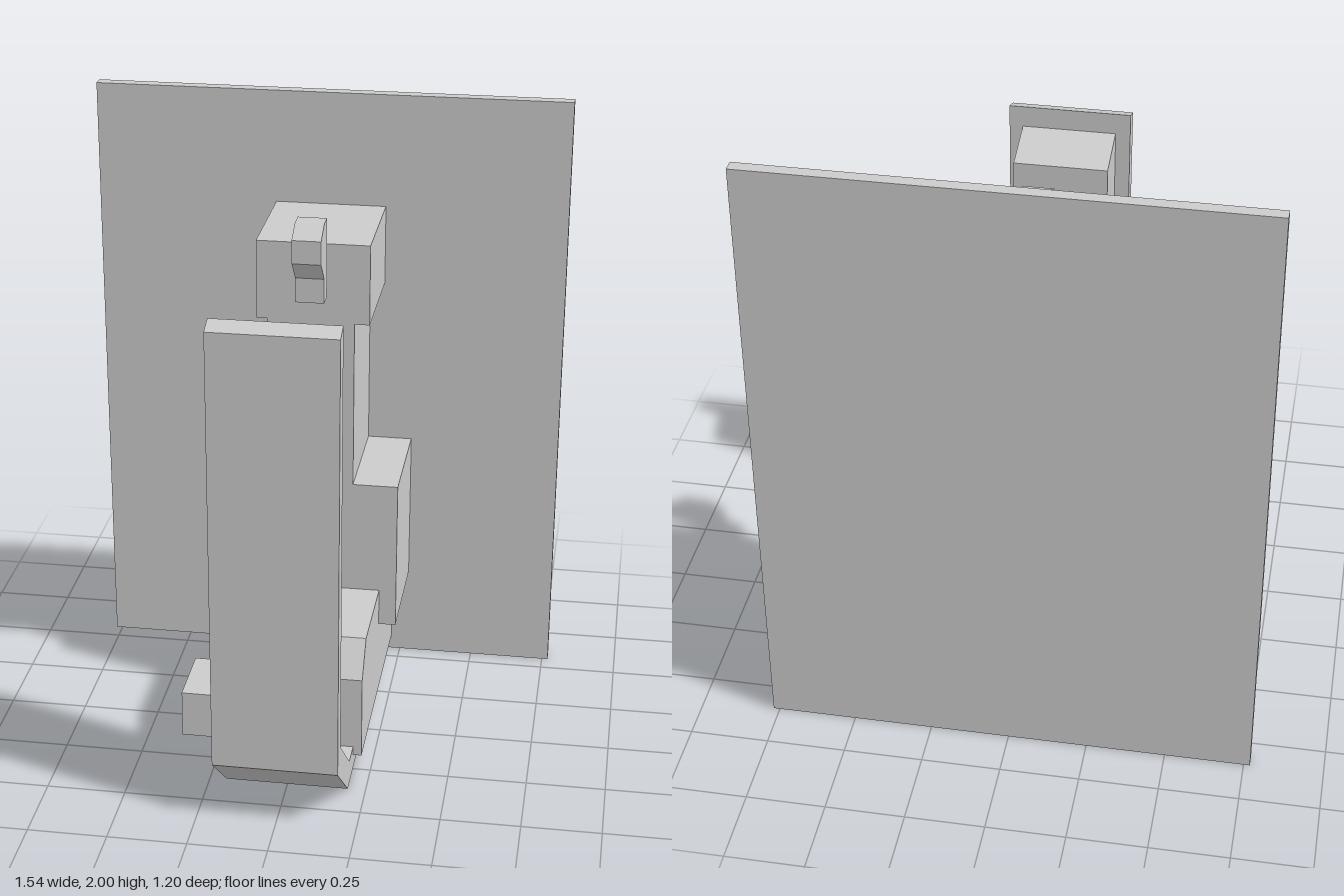
import * as THREE from 'three';

const material = new THREE.MeshStandardMaterial({ color: 0xcccccc, flatShading: true });

function addMesh(group, name, geometry) {
  const mesh = new THREE.Mesh(geometry, material);
  mesh.name = name;
  group.add(mesh);
}

function extrude(points, depth) {
  const shape = new THREE.Shape(points.map(([a, b]) => new THREE.Vector2(a, b)));
  return new THREE.ExtrudeGeometry(shape, { depth, bevelEnabled: false });
}

// Side profile given as [z, y], spanning x0 to x1
function sideProfile(points, x0, x1) {
  return extrude(points, x1 - x0).rotateY(-Math.PI / 2).translate(x1, 0, 0);
}

// Front outline given as [x, y], spanning z0 to z1
function frontProfile(points, z0, z1) {
  return extrude(points, z1 - z0).translate(0, 0, z0);
}

function box(x0, x1, y0, y1, z0, z1) {
  return new THREE.BoxGeometry(x1 - x0, y1 - y0, z1 - z0)
    .translate((x0 + x1) / 2, (y0 + y1) / 2, (z0 + z1) / 2);
}

export function createModel() {
  const group = new THREE.Group();
  group.name = 'wallUnit';

  addMesh(group, 'backPlate', box(-0.77, 0.77, 0, 2, -0.6, -0.56));

  // Floor strip that bends up into the upright front panel
  addMesh(group, 'frontBracket', sideProfile([
    [-0.56, 0], [0.37, 0], [0.603, 0.195], [0.603, 1.62], [0.545, 1.64],
    [0.545, 0.26], [0.335, 0.08], [-0.56, 0.08],
  ], -0.197, 0.193));

  // Slab with a sloping top on the inner face of the panel
  addMesh(group, 'panelPad', sideProfile([
    [0.375, 0.475], [0.545, 0.475], [0.545, 1.57], [0.375, 1.53],
  ], -0.15, 0.15));

  // Lower housing with a chamfered front edge
  addMesh(group, 'lowerHousing', sideProfile([
    [-0.56, 0.05], [0.247, 0.05], [0.247, 0.325], [0.16, 0.43], [-0.56, 0.43],
  ], -0.22, 0.22));
  addMesh(group, 'sideBlock', box(-0.365, -0.22, 0.07, 0.225, 0.01, 0.24));

  // Stepped column: wide base, narrow neck, wider head
  addMesh(group, 'column', frontProfile([
    [-0.297, 0.305], [0.276, 0.305], [0.276, 0.81], [0.13, 0.81],
    [0.13, 1.365], [0.178, 1.365], [0.178, 1.628], [-0.182, 1.628],
    [-0.182, 1.37], [-0.148, 1.37], [-0.148, 0.81], [-0.297, 0.81],
  ], -0.56, -0.17));

  // Small free-standing hook in front of the head
  addMesh(group, 'hook', sideProfile([
    [-0.145, 1.46], [-0.09, 1.46], [-0.09, 1.54], [-0.022, 1.61],
    [-0.022, 1.685], [-0.09, 1.72], [-0.145, 1.72],
  ], -0.046, 0.045));

  return group;
}
